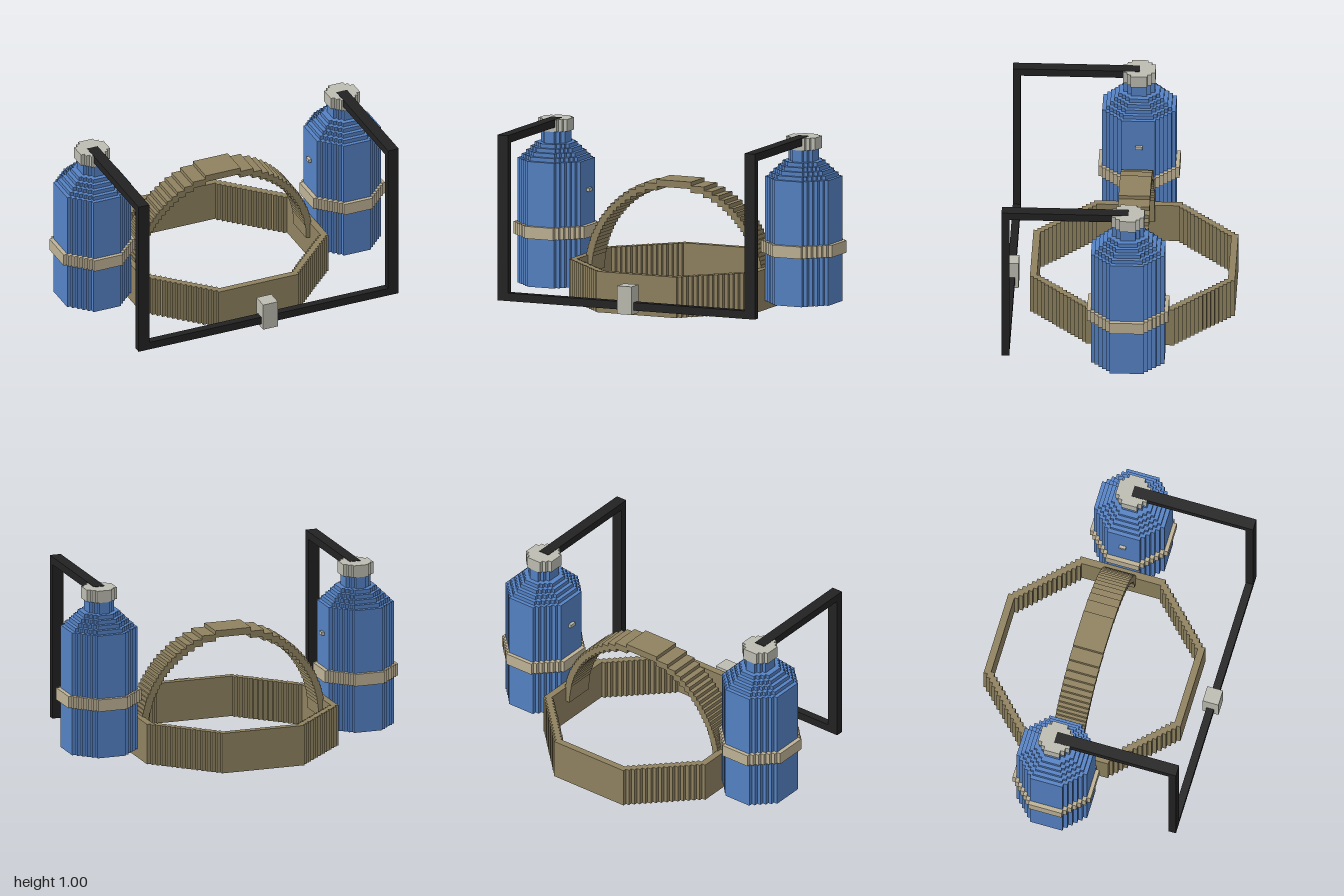
import * as THREE from 'three';

const STEP = 0.0225;
const mat = (name, color) => {
  const m = new THREE.MeshStandardMaterial({ color });
  m.name = name;
  return m;
};

// Octagon outline whose slanted corners are small square stair steps
function steppedOctagon(hx, hz, cut, steps) {
  const quarter = [], s = cut / steps;
  for (let k = 0; k <= steps; k++) {
    const y = hz - cut + k * s;
    quarter.push([hx - k * s, y]);
    if (k < steps) quarter.push([hx - (k + 1) * s, y]);
  }
  const back = [...quarter].reverse();
  return [
    ...quarter,
    ...back.map(([x, y]) => [-x, y]),
    ...quarter.map(([x, y]) => [-x, -y]),
    ...back.map(([x, y]) => [x, -y]),
  ].map(([x, y]) => new THREE.Vector2(x, y));
}

// Upright slab between two heights, with an optional hole
function slab(outline, y0, y1, hole) {
  const shape = new THREE.Shape(outline);
  if (hole) shape.holes.push(new THREE.Path(hole));
  const g = new THREE.ExtrudeGeometry(shape, { depth: y1 - y0, bevelEnabled: false });
  return g.rotateX(-Math.PI / 2).translate(0, y0, 0);
}

// Half of a stair-stepped arc, from the foot up to the crown
function steppedArc(radius, baseY) {
  const pts = [], rows = Math.round(radius / STEP), h = radius / rows;
  for (let i = 0; i < rows; i++) {
    const mid = (i + 0.5) * h;
    const x = Math.sqrt(radius * radius - mid * mid) - 0.003;
    pts.push([x, baseY + i * h], [x, baseY + (i + 1) * h]);
  }
  return pts;
}

export function createModel() {
  const root = new THREE.Group();
  root.name = 'bottleHeadgear';
  const blue = mat('bottleBlue', 0x5582c4);
  const tan = mat('strapTan', 0xbfb396);
  const grey = mat('capGrey', 0xbdbdb2);
  const khaki = mat('bandKhaki', 0x8f8260);
  const black = mat('tubeBlack', 0x222222);

  const add = (parent, name, geometry, material) => {
    const m = new THREE.Mesh(geometry, material);
    m.name = name;
    parent.add(m);
    return m;
  };
  // Box from its minimum and maximum on each axis
  const box = (parent, name, material, [x0, x1], [y0, y1], [z0, z1]) => {
    const m = add(parent, name, new THREE.BoxGeometry(x1 - x0, y1 - y0, z1 - z0), material);
    m.position.set((x0 + x1) / 2, (y0 + y1) / 2, (z0 + z1) / 2);
  };

  // Head band ring
  add(root, 'headBand', slab(
    steppedOctagon(0.58, 0.5825, 0.33, 15), 0, 0.235,
    steppedOctagon(0.54, 0.5425, 0.307, 14)), khaki).position.z = -0.0825;

  // Arch over the head, its feet tucked inside the ring
  const outer = steppedArc(0.56, 0.14), inner = steppedArc(0.52, 0.14);
  const mirror = (pts) => [...pts].reverse().map(([x, y]) => [-x, y]);
  const archOutline = [...outer, ...mirror(outer), ...mirror(inner).reverse(), ...[...inner].reverse()]
    .map(([x, y]) => new THREE.Vector2(x, y));
  const arch = new THREE.ExtrudeGeometry(new THREE.Shape(archOutline), { depth: 0.18, bevelEnabled: false });
  add(root, 'headArch', arch, khaki).position.z = -0.178;

  for (const side of [-1, 1]) {
    const bottle = new THREE.Group();
    bottle.name = side > 0 ? 'leftBottle' : 'rightBottle';
    bottle.position.set(side * 0.777, 0, -0.081);
    root.add(bottle);

    // Body, stepped shoulder and neck
    add(bottle, 'bottleBody', slab(steppedOctagon(0.198, 0.209, 0.112, 5), 0.05, 0.77), blue);
    for (let i = 1; i <= 4; i++) {
      const y = 0.77 + (i - 1) * 0.023;
      add(bottle, 'bottleShoulder', slab(
        steppedOctagon(0.198 - i * 0.0225, 0.209 - i * 0.023, 0.112 - i * 0.013, 5 - Math.floor(i / 2)),
        y, y + 0.023), blue);
    }
    add(bottle, 'bottleNeck', slab(steppedOctagon(0.075, 0.09, 0.045, 2), 0.862, 0.93), blue);
    add(bottle, 'bottleCap', slab(steppedOctagon(0.091, 0.092, 0.045, 2), 0.93, 1), grey);
    add(bottle, 'bottleStrap', slab(steppedOctagon(0.222, 0.231, 0.132, 6), 0.33, 0.4), tan);

    // Small stud facing the head
    const a = side * 0.562, b = side * 0.6;
    box(root, 'bottleStud', grey, [Math.min(a, b), Math.max(a, b)], [0.588, 0.608], [-0.105, -0.065]);

    // Drinking tube: arm out of the cap, then down
    const x = [side * 0.775 - 0.033, side * 0.775 + 0.033];
    box(root, 'tubeArm', black, x, [0.957, 1.002], [-0.083, 0.638]);
    box(root, 'tubeDrop', black, x, [0.05, 0.957], [0.594, 0.638]);
  }

  // Joining tube and mouthpiece
  box(root, 'tubeCross', black, [-0.742, 0.742], [0.05, 0.096], [0.594, 0.638]);
  box(root, 'mouthpiece', grey, [-0.046, 0.046], [0.028, 0.19], [0.572, 0.665]);

  return root;
}
